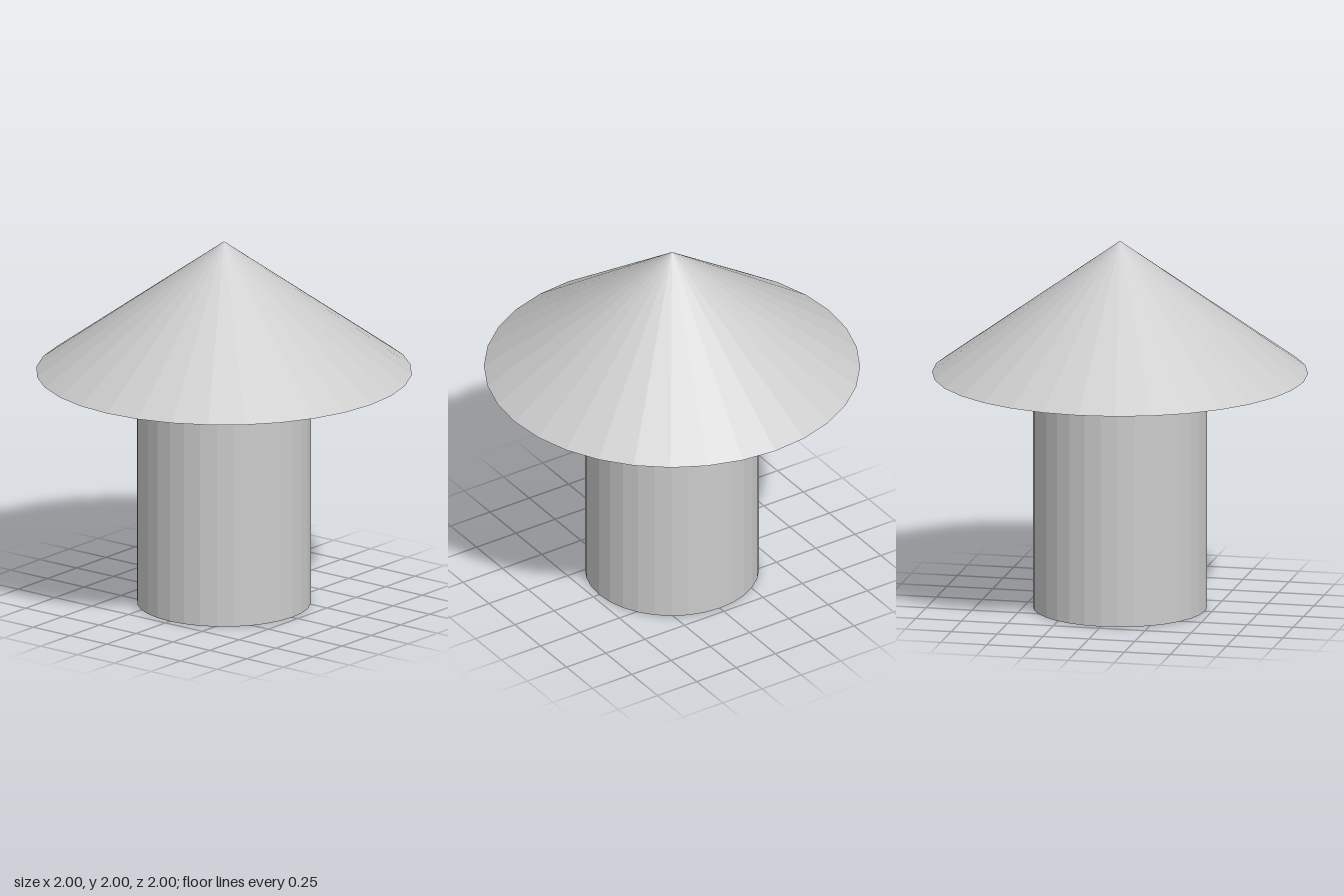
import * as THREE from 'three';

export function createModel() {
  const group = new THREE.Group();
  const material = new THREE.MeshStandardMaterial({ color: 0xcccccc, flatShading: true });
  const sides = 32;
  const eaveHeight = 1.28;
  const roofHeight = 2 - eaveHeight;

  const add = (name, geometry, y) => {
    const mesh = new THREE.Mesh(geometry, material);
    mesh.name = name;
    mesh.position.y = y;
    group.add(mesh);
  };

  // Cylindrical body, closed at the bottom
  add('body', new THREE.CylinderGeometry(0.463, 0.463, eaveHeight, sides), eaveHeight / 2);

  // Wide conical roof with a flat underside
  add('roof', new THREE.ConeGeometry(1, roofHeight, sides), eaveHeight + roofHeight / 2);

  return group;
}
